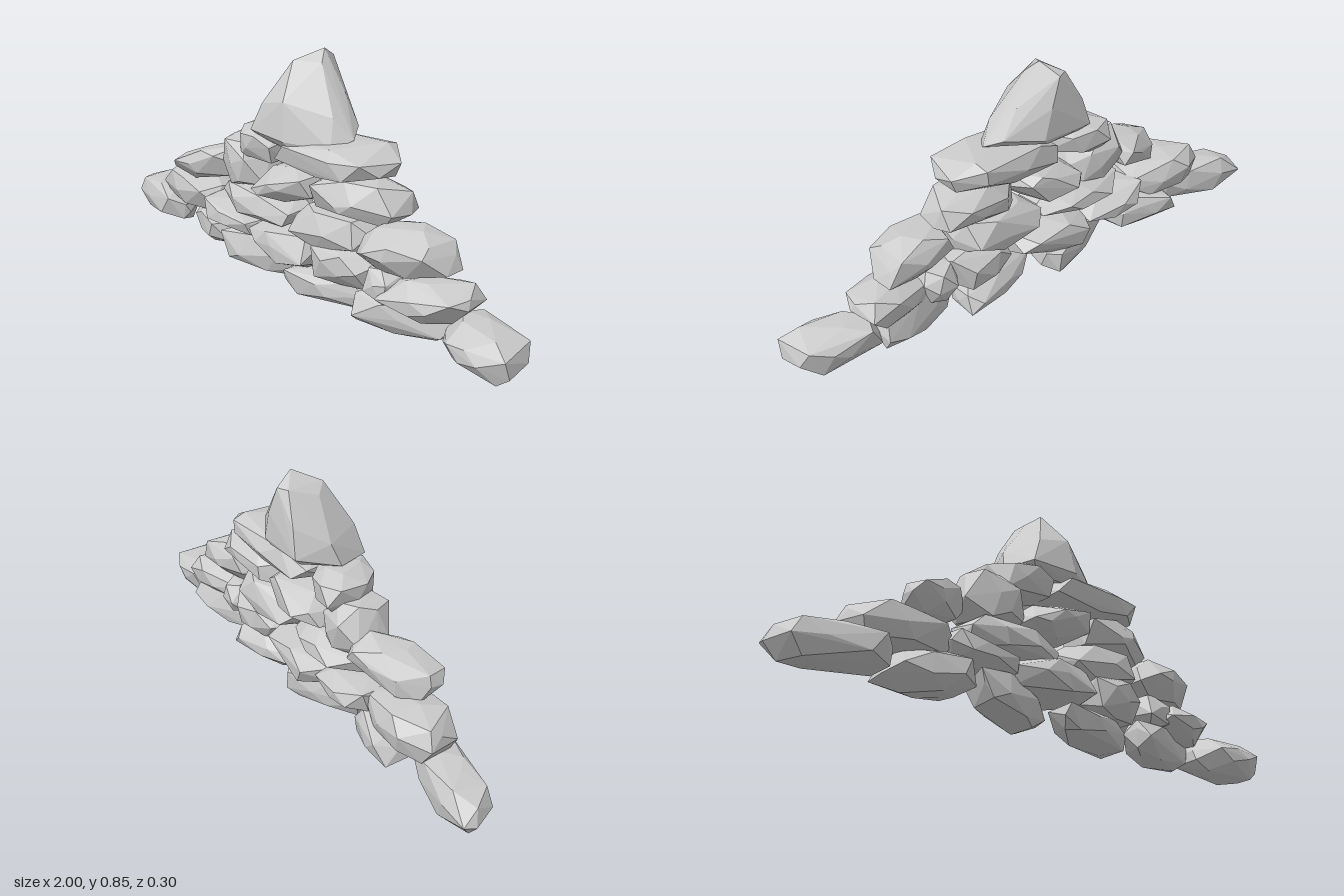
import * as THREE from 'three';
import { ConvexGeometry } from 'three/addons/geometries/ConvexGeometry.js';

const material = new THREE.MeshStandardMaterial({ color: 0xcccccc, flatShading: true });

// Small seeded generator, so every stone keeps its shape
function seeded(seed) {
  let s = seed * 7919 + 17;
  return () => {
    s = (s * 16807) % 2147483647;
    return s / 2147483647;
  };
}

const lerp = THREE.MathUtils.lerp;

// Faceted stone: hull of jittered points on a rounded block, mapped into a
// front quad (top left, top right, bottom right, bottom left) and a depth
// range; yaw shifts the right end forward and the left end back
function stoneGeometry([tl, tr, br, bl, [z0, z1, yaw]], seed) {
  const rand = seeded(seed);
  for (let i = 0; i < 5; i++) rand();
  const count = 24, power = 4.5, points = [];
  const turn = rand() * 6.28;
  for (let i = 0; i < count; i++) {
    const h = 1 - (2 * (i + 0.5)) / count;
    const r = Math.sqrt(1 - h * h);
    const a = i * 2.39996 + turn;
    const jitter = () => (rand() - 0.5) * 0.4;
    const p = new THREE.Vector3(h + jitter(), r * Math.cos(a) + jitter(), r * Math.sin(a) + jitter());
    const norm = (Math.abs(p.x) ** power + Math.abs(p.y) ** power + Math.abs(p.z) ** power) ** (1 / power);
    points.push(p.multiplyScalar((0.95 + rand() * 0.08) / norm));
  }
  const box = new THREE.Box3().setFromPoints(points);
  const size = box.getSize(new THREE.Vector3());
  const half = (z1 - z0) / 2 - Math.abs(yaw) * 0.8;
  for (const p of points) {
    const { x: u, y: v, z: w } = p.sub(box.min).divide(size);
    p.set(
      lerp(lerp(bl[0], br[0], u), lerp(tl[0], tr[0], u), v),
      lerp(lerp(bl[1], br[1], u), lerp(tl[1], tr[1], u), v),
      (z0 + z1) / 2 + (2 * w - 1) * half + (2 * u - 1) * yaw,
    );
  }
  return new ConvexGeometry(points);
}

// Courses from the ground up: four front corners, then back, front, yaw
const courses = {
  groundCourse: [
    [[-0.97, 0.175], [-0.62, 0.165], [-0.62, 0.04], [-1.02, 0.025], [-0.125, 0.115, 0.045]],
    [[-0.61, 0.17], [-0.33, 0.175], [-0.31, 0.035], [-0.61, 0.03], [-0.15, 0.13, 0.05]],
    [[-0.34, 0.155], [0.02, 0.14], [0.03, 0.005], [-0.30, 0.02], [-0.14, 0.14, -0.06]],
    [[0.02, 0.115], [0.37, 0.115], [0.39, 0.01], [0.02, 0.005], [-0.145, 0.14, -0.06]],
    [[0.35, 0.15], [0.73, 0.155], [0.71, 0.01], [0.35, 0.0], [-0.135, 0.13, -0.07]],
    [[0.71, 0.16], [1.0, 0.145], [1.0, 0.01], [0.70, 0.02], [-0.12, 0.13, 0.02]],
  ],
  secondCourse: [
    [[-0.75, 0.30], [-0.41, 0.26], [-0.41, 0.15], [-0.79, 0.14], [-0.13, 0.12, 0.02]],
    [[-0.46, 0.26], [-0.16, 0.21], [-0.16, 0.125], [-0.43, 0.14], [-0.13, 0.13, 0]],
    [[-0.20, 0.24], [0.15, 0.245], [0.15, 0.11], [-0.19, 0.10], [-0.155, 0.155, 0.01]],
    [[0.15, 0.24], [0.42, 0.265], [0.41, 0.11], [0.15, 0.10], [-0.135, 0.135, -0.02]],
    [[0.38, 0.23], [0.53, 0.23], [0.53, 0.10], [0.40, 0.10], [-0.11, 0.11, 0]],
    [[0.48, 0.22], [0.76, 0.235], [0.79, 0.12], [0.48, 0.085], [-0.13, 0.14, -0.03]],
  ],
  thirdCourse: [
    [[-0.59, 0.38], [-0.33, 0.43], [-0.34, 0.31], [-0.62, 0.25], [-0.115, 0.15, -0.05]],
    [[-0.35, 0.33], [0.01, 0.335], [0.03, 0.22], [-0.35, 0.21], [-0.12, 0.12, 0]],
    [[0.04, 0.34], [0.38, 0.36], [0.38, 0.21], [0.0, 0.21], [-0.125, 0.13, -0.01]],
    [[0.38, 0.37], [0.61, 0.375], [0.70, 0.24], [0.37, 0.215], [-0.13, 0.15, -0.03]],
  ],
  fourthCourse: [
    [[-0.34, 0.51], [-0.18, 0.48], [-0.10, 0.32], [-0.39, 0.31], [-0.11, 0.12, 0.01]],
    [[-0.14, 0.42], [0.13, 0.49], [0.16, 0.35], [-0.16, 0.30], [-0.15, 0.16, 0.01]],
    [[0.14, 0.48], [0.46, 0.49], [0.48, 0.35], [0.13, 0.335], [-0.14, 0.125, -0.02]],
  ],
  fifthCourse: [
    [[-0.28, 0.57], [-0.03, 0.565], [-0.04, 0.44], [-0.27, 0.43], [-0.12, 0.15, 0.035]],
    [[-0.05, 0.56], [0.40, 0.60], [0.42, 0.48], [-0.05, 0.45], [-0.15, 0.13, -0.01]],
  ],
};

// Pointed capstone, from a few corners per level
const capstoneCorners = [
  [-0.10, 0.54, 0.09], [0.08, 0.53, 0.10], [0.20, 0.56, 0.05], [-0.10, 0.58, -0.12], [0.06, 0.59, -0.14],
  [-0.17, 0.57, 0.0], [-0.13, 0.57, 0.12], [0.05, 0.57, 0.13], [0.24, 0.59, -0.02], [0.20, 0.62, -0.08],
  [0.08, 0.61, -0.15], [-0.12, 0.61, -0.15], [-0.15, 0.65, -0.03], [-0.09, 0.67, 0.10], [0.03, 0.70, 0.11],
  [0.18, 0.66, 0.02], [0.14, 0.72, -0.075], [0.05, 0.72, -0.15], [-0.09, 0.71, -0.14], [-0.06, 0.79, -0.02],
  [-0.02, 0.82, 0.02], [0.07, 0.82, -0.03], [0.04, 0.86, -0.07], [-0.03, 0.82, -0.12], [0.01, 0.82, -0.14],
];

export function createModel() {
  const model = new THREE.Group();
  model.name = 'stonePile';
  let seed = 1;
  for (const [name, stones] of Object.entries(courses)) {
    const course = new THREE.Group();
    course.name = name;
    stones.forEach((stone, i) => {
      const mesh = new THREE.Mesh(stoneGeometry(stone, seed++), material);
      mesh.name = `stone${i + 1}`;
      course.add(mesh);
    });
    model.add(course);
  }
  const capstone = new THREE.Mesh(
    new ConvexGeometry(capstoneCorners.map((c) => new THREE.Vector3(...c))), material);
  capstone.name = 'capstone';
  model.add(capstone);
  return model;
}
